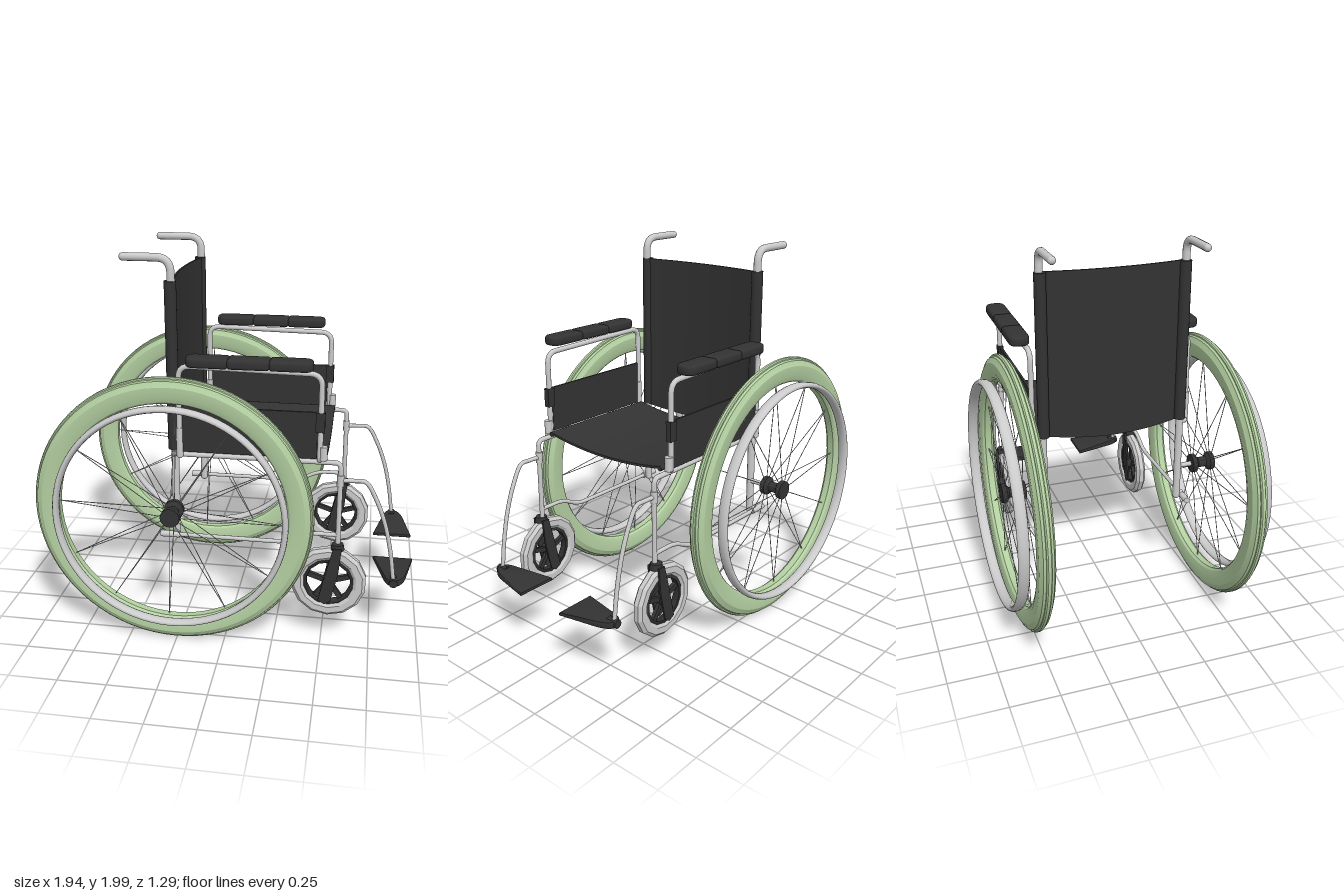
import * as THREE from 'three';
import { toCreasedNormals } from 'three/addons/utils/BufferGeometryUtils.js';

const grey = new THREE.MeshStandardMaterial({ color: 0xcccccc });
const greyFlat = new THREE.MeshStandardMaterial({ color: 0xcccccc, flatShading: true });
const dark = new THREE.MeshStandardMaterial({ color: 0x333333 });
const green = new THREE.MeshStandardMaterial({ color: 0xb4d0a2 });
const V = (x, y, z) => new THREE.Vector3(x, y, z);

function add(parent, name, geo, mat, x = 0, y = 0, z = 0) {
  const mesh = new THREE.Mesh(geo, mat);
  mesh.name = name;
  mesh.position.set(x, y, z);
  parent.add(mesh);
  return mesh;
}

// Straight round bar between two points
function bar(parent, name, a, b, r, mat = grey, sides = 12) {
  const dir = b.clone().sub(a);
  const mesh = add(parent, name, new THREE.CylinderGeometry(r, r, dir.length(), sides), mat);
  mesh.position.copy(a).lerp(b, 0.5);
  mesh.quaternion.setFromUnitVectors(V(0, 1, 0), dir.normalize());
  return mesh;
}

// Bent tube through [x, y] corners at depth z, each corner rounded, ends capped
function bentTube(parent, name, corners, z, r, bend = 0.05) {
  const p = corners.map(([x, y]) => V(x, y, z));
  const path = new THREE.CurvePath();
  let from = p[0];
  for (let i = 1; i < p.length - 1; i++) {
    const inDir = p[i - 1].clone().sub(p[i]), outDir = p[i + 1].clone().sub(p[i]);
    const d = Math.min(bend, inDir.length() * 0.45, outDir.length() * 0.45);
    const a = p[i].clone().addScaledVector(inDir.normalize(), d);
    const b = p[i].clone().addScaledVector(outDir.normalize(), d);
    path.add(new THREE.LineCurve3(from, a));
    path.add(new THREE.QuadraticBezierCurve3(a, p[i], b));
    from = b;
  }
  path.add(new THREE.LineCurve3(from, p[p.length - 1]));
  add(parent, name, new THREE.TubeGeometry(path, 90, r, 12), grey);
  for (const e of [p[0], p[p.length - 1]]) {
    add(parent, name + 'End', new THREE.SphereGeometry(r, 12, 8), grey, e.x, e.y, e.z);
  }
}

// Ring or spool turned about the z axis from [radius, z] points
function turned(points, segments) {
  const pts = points.map(([r, z]) => new THREE.Vector2(r, z));
  return new THREE.LatheGeometry(pts, segments).rotateX(Math.PI / 2);
}

// Horizontal slab from an outline in (x, z), top face near y = height
function slab(shape, height, bevel) {
  return new THREE.ExtrudeGeometry(shape, {
    depth: height - 2 * bevel, bevelThickness: bevel, bevelSize: bevel, bevelOffset: -bevel,
    bevelSegments: 3, curveSegments: 8,
  }).rotateX(Math.PI / 2).translate(0, height - bevel, 0);
}

// Sagging cloth: a box whose vertices are moved by a rule
function cloth(w, h, d, rule) {
  const geo = new THREE.BoxGeometry(w, h, d, 1, 1, 24);
  const pos = geo.attributes.position, v = V(0, 0, 0);
  for (let i = 0; i < pos.count; i++) {
    v.fromBufferAttribute(pos, i);
    rule(v, 1 - (2 * v.z / d) ** 2);
    pos.setXYZ(i, v.x, v.y, v.z);
  }
  return toCreasedNormals(geo, 0.6);
}

function driveWheel(s) {
  const g = new THREE.Group();
  g.name = 'driveWheel';
  g.position.set(-0.26, 0.725, 0.53 * s);
  // Tyre with a ridged tread
  const half = [[0.715, 0.007], [0.71, 0.013], [0.704, 0.014], [0.699, 0.026], [0.69, 0.03],
    [0.672, 0.04], [0.625, 0.04], [0.595, 0.03], [0.585, 0.018]];
  const lower = half.map(([r, z]) => [r, -z]).reverse();
  const tyre = turned([...lower, ...half, lower[0]], 72);
  add(g, 'tyre', toCreasedNormals(tyre, 0.45), green);
  add(g, 'rim', new THREE.CylinderGeometry(0.586, 0.586, 0.036, 72, 1, true).rotateX(Math.PI / 2),
    new THREE.MeshStandardMaterial({ color: 0xb4d0a2, side: THREE.DoubleSide }));
  // Push ring with an oval section
  add(g, 'pushRing', new THREE.TorusGeometry(0.58, 0.016, 12, 72).scale(1, 1, 1.8), grey, 0, 0, 0.086 * s);
  // Spool-shaped hub and its axle
  add(g, 'hub', toCreasedNormals(turned([[0, -0.06], [0.05, -0.06], [0.05, -0.035], [0.028, -0.02],
    [0.028, 0.025], [0.05, 0.04], [0.05, 0.065], [0, 0.065]], 20), 0.6), dark);
  bar(g, 'axle', V(0, 0, -0.05 * s), V(0, 0, -0.15 * s), 0.013);
  // Spokes from both hub flanges
  for (let i = 0; i < 12; i++) {
    const a = (i * 30 - 3) * Math.PI / 180, c = Math.cos(a), n = Math.sin(a);
    for (const z of [-0.047, 0.052]) {
      bar(g, 'spoke', V(0.04 * c, 0.04 * n, z), V(0.587 * c, 0.587 * n, 0), 0.0022, grey, 5);
    }
  }
  return g;
}

function caster(s) {
  const g = new THREE.Group();
  g.name = 'caster';
  g.position.set(0.53, 0.35, 0.415 * s);
  add(g, 'casterTyre', turned([[0.13, -0.018], [0.145, -0.028], [0.178, -0.028], [0.195, -0.013], [0.195, 0.013],
    [0.178, 0.028], [0.145, 0.028], [0.13, 0.018], [0.13, -0.018]], 14), greyFlat);
  add(g, 'casterRim', turned([[0.114, -0.018], [0.134, -0.018], [0.134, 0.018], [0.114, 0.018],
    [0.114, -0.018]], 14), dark);
  add(g, 'casterHub', new THREE.CylinderGeometry(0.03, 0.03, 0.07, 12).rotateX(Math.PI / 2), dark);
  for (let i = 0; i < 5; i++) {
    const a = i * Math.PI * 0.4 + 0.3;
    const m = add(g, 'casterSpoke', new THREE.BoxGeometry(0.1, 0.026, 0.02), dark,
      0.07 * Math.cos(a), 0.07 * Math.sin(a), 0);
    m.rotation.z = a;
  }
  // Fork blades either side of the wheel, joined by a crown
  for (const side of [-1, 1]) {
    const blade = new THREE.Shape([[-0.05, -0.1], [-0.015, -0.12], [0.015, -0.1], [0.05, 0.06], [0.062, 0.2],
      [0.02, 0.2], [-0.01, 0.08]].map(([x, y]) => new THREE.Vector2(x, y)));
    add(g, 'forkBlade', new THREE.ExtrudeGeometry(blade, { depth: 0.01, bevelEnabled: false }), dark,
      0, 0, side * 0.033 - 0.005);
  }
  add(g, 'forkCrown', new THREE.CylinderGeometry(0.03, 0.036, 0.03, 12), dark, 0.04, 0.2, 0);
  return g;
}

function armrest(s) {
  const g = new THREE.Group();
  g.name = 'armrest';
  const z = 0.42 * s;
  bentTube(g, 'armTube', [[-0.235, 1.0], [-0.235, 1.468], [0.465, 1.455], [0.465, 1.02]], z, 0.014, 0.06);
  bar(g, 'rearSocket', V(-0.235, 1.0, z), V(-0.235, 1.15, z), 0.018);
  bar(g, 'frontSocket', V(0.482, 1.02, z), V(0.482, 1.09, z), 0.02);
  add(g, 'sidePanel', new THREE.BoxGeometry(0.67, 0.24, 0.012), dark, 0.115, 1.145, z);
  add(g, 'panelWrap', new THREE.BoxGeometry(0.045, 0.1, 0.03), dark, 0.463, 1.215, z);
  // Padded top in three cushions with round outer ends
  for (const [x0, x1, r0, r1] of [[-0.19, 0.02, 0.05, 0.02], [0.015, 0.22, 0.02, 0.02], [0.215, 0.425, 0.02, 0.05]]) {
    const w = 0.052, sh = new THREE.Shape();
    sh.moveTo(x0 + r0, -w).lineTo(x1 - r1, -w).quadraticCurveTo(x1, -w, x1, -w + r1)
      .lineTo(x1, w - r1).quadraticCurveTo(x1, w, x1 - r1, w)
      .lineTo(x0 + r0, w).quadraticCurveTo(x0, w, x0, w - r0)
      .lineTo(x0, -w + r0).quadraticCurveTo(x0, -w, x0 + r0, -w);
    add(g, 'armPad', toCreasedNormals(slab(sh, 0.05, 0.014), 0.7), dark, 0, 1.48, 0.452 * s);
  }
  return g;
}

function footrest(s) {
  const g = new THREE.Group();
  g.name = 'footrest';
  const z = 0.405 * s;
  const curve = new THREE.CatmullRomCurve3([[0.57, 0.91], [0.64, 0.912], [0.695, 0.908], [0.75, 0.82], [0.8, 0.69],
    [0.835, 0.54], [0.86, 0.37]].map(([x, y]) => V(x, y, z)));
  add(g, 'hangerTube', new THREE.TubeGeometry(curve, 48, 0.011, 10), grey);
  bar(g, 'hangerClamp', V(0.57, 0.88, z), V(0.57, 0.94, z), 0.018);
  // Tapered plate, thicker at its outer end
  const sh = new THREE.Shape();
  sh.moveTo(0.755, 0.14 * s).lineTo(0.965, 0.14 * s).lineTo(0.925, 0.34 * s)
    .quadraticCurveTo(0.905, 0.425 * s, 0.86, 0.425 * s)
    .quadraticCurveTo(0.825, 0.425 * s, 0.81, 0.36 * s).lineTo(0.755, 0.14 * s);
  const geo = slab(sh, 0.024, 0.006), pos = geo.attributes.position;
  for (let i = 0; i < pos.count; i++) {
    const t = (Math.abs(pos.getZ(i)) - 0.14) / 0.285;
    pos.setY(i, pos.getY(i) * (0.8 + 0.7 * t));
  }
  add(g, 'footPlate', toCreasedNormals(geo, 0.5), dark, 0, 0.346, 0);
  bar(g, 'footPivot', V(0.86, 0.365, 0.37 * s), V(0.86, 0.365, 0.43 * s), 0.022, dark);
  return g;
}

function sideFrame(s) {
  const g = new THREE.Group();
  g.name = 'sideFrame';
  // Back post bent into the push handle
  bentTube(g, 'backPost', [[-0.5, 1.98], [-0.27, 1.98], [-0.27, 0.55]], 0.375 * s, 0.02, 0.07);
  add(g, 'backSleeve', new THREE.CylinderGeometry(0.03, 0.03, 0.85, 16), dark, -0.275, 1.445, 0.372 * s);
  // Seat rail running down into the front post, and the lower rail
  bentTube(g, 'seatRail', [[-0.27, 1.003], [0.57, 1.003], [0.57, 0.55]], 0.405 * s, 0.013, 0.03);
  bentTube(g, 'lowerRail', [[-0.34, 0.55], [0.3, 0.55], [0.42, 0.61], [0.57, 0.61]], 0.405 * s, 0.011, 0.05);
  bar(g, 'tipTube', V(-0.35, 0.55, 0.405 * s), V(-0.25, 0.55, 0.405 * s), 0.017);
  for (const y of [0.56, 1.0]) bar(g, 'joint', V(-0.27, y, 0.375 * s), V(-0.27, y, 0.41 * s), 0.014);
  bar(g, 'seatEdge', V(-0.215, 1.025, 0.378 * s), V(0.5, 1.025, 0.378 * s), 0.013, dark);
  bar(g, 'seatBracket', V(0.4, 1.02, 0.378 * s), V(0.4, 1.005, 0.405 * s), 0.01);
  bar(g, 'seatBracket', V(-0.15, 1.02, 0.378 * s), V(-0.15, 1.005, 0.405 * s), 0.01);
  return g;
}

export function createModel() {
  const model = new THREE.Group();
  model.name = 'wheelchair';
  const chair = new THREE.Group();
  chair.name = 'chair';
  chair.position.z = 0.012;
  model.add(chair);

  // Fabric back bowed rearwards and seat sagging in the middle
  add(chair, 'backrest', cloth(0.01, 0.85, 0.75, (v, k) => {
    v.x -= 0.035 * k;
    if (v.y < 0) v.y -= 0.03 * k;
  }), dark, -0.262, 1.445, 0);
  add(chair, 'seat', cloth(0.715, 0.012, 0.75, (v, k) => { v.y -= 0.035 * k; }), dark, 0.1425, 1.03, 0);

  for (const s of [1, -1]) {
    chair.add(sideFrame(s), armrest(s), caster(s), footrest(s));
    model.add(driveWheel(s));
  }
  return model;
}
